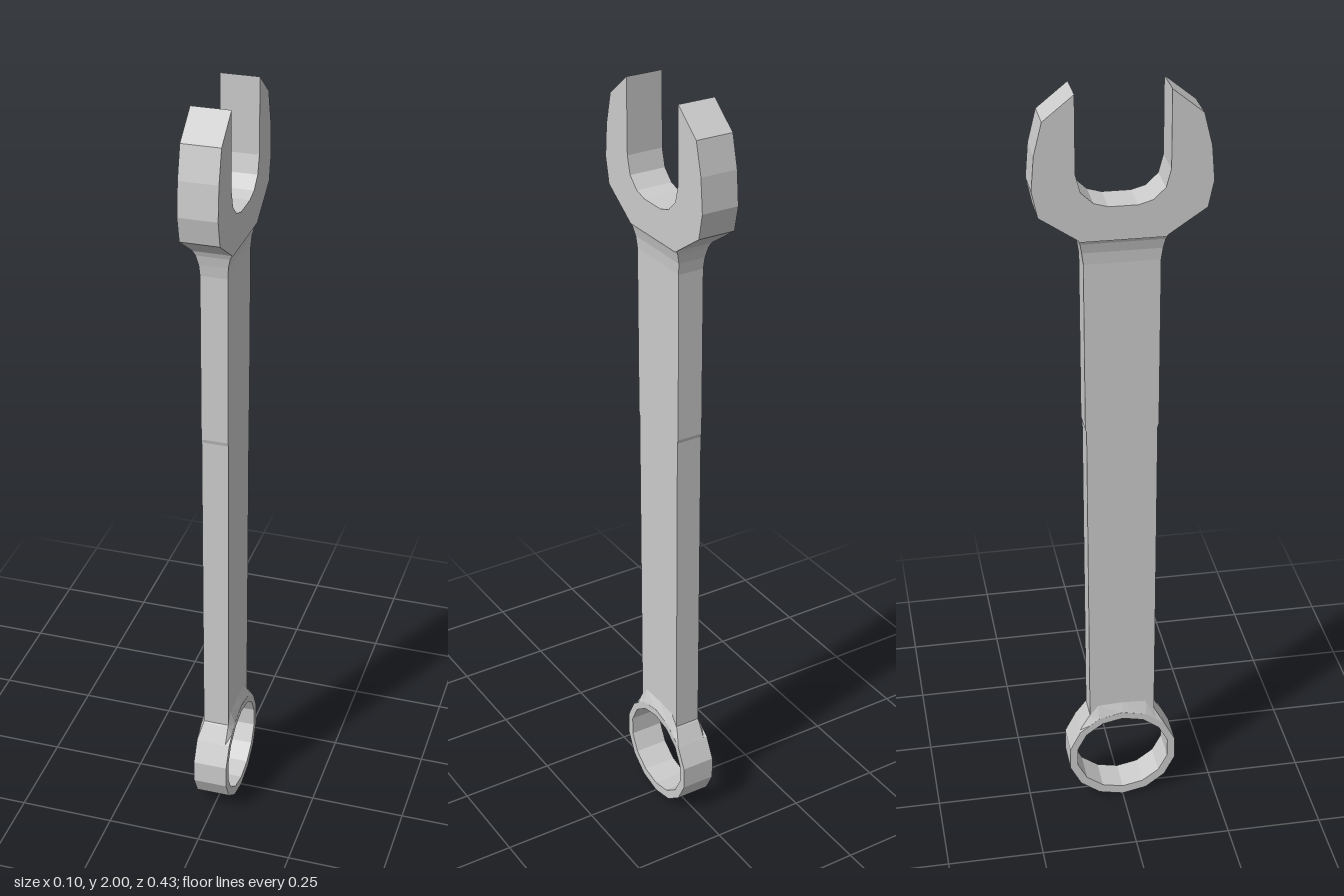
import * as THREE from 'three';

const material = new THREE.MeshStandardMaterial({ color: 0xcccccc, flatShading: true });

function mesh(name, geometry) {
  const m = new THREE.Mesh(geometry, material);
  m.name = name;
  return m;
}

// Extrude a (z, y) outline across x, centred on x = 0
function slab(shape, halfThickness) {
  const g = new THREE.ExtrudeGeometry(shape, { depth: 2 * halfThickness, bevelEnabled: false });
  return g.translate(0, 0, -halfThickness).rotateY(-Math.PI / 2);
}

// Skin a row of equal-length sections (counter-clockwise seen from the far end), with end caps
function loft(sections) {
  const pos = [];
  const tri = (a, b, c) => pos.push(...a, ...b, ...c);
  const n = sections[0].length;
  for (let i = 0; i < sections.length - 1; i++) {
    for (let j = 0; j < n; j++) {
      const k = (j + 1) % n, s = sections[i], t = sections[i + 1];
      tri(s[j], s[k], t[k]);
      tri(s[j], t[k], t[j]);
    }
  }
  const first = sections[0], last = sections[sections.length - 1];
  for (let j = 1; j < n - 1; j++) {
    tri(first[0], first[j + 1], first[j]);
    tri(last[0], last[j], last[j + 1]);
  }
  const g = new THREE.BufferGeometry();
  g.setAttribute('position', new THREE.Float32BufferAttribute(pos, 3));
  g.computeVertexNormals();
  return g;
}

// Fourteen-sided oval with a corner at the bottom
function oval(rz, ry, cy) {
  return Array.from({ length: 14 }, (_, i) => {
    const a = (i / 14) * Math.PI * 2;
    return new THREE.Vector2(rz * Math.sin(a), cy - ry * Math.cos(a));
  });
}

export function createModel() {
  const group = new THREE.Group();
  group.name = 'wrench';

  // Open jaw: half outline from the bottom, round the prong, to the throat
  const half = [
    [0.1, 1.643], [0.2, 1.71], [0.214, 1.775], [0.207, 1.86], [0.187, 1.94], [0.112, 2],
    [0.112, 1.81], [0.1, 1.765], [0.07, 1.737], [0.035, 1.727],
  ];
  const outline = [...half, ...half.map(([z, y]) => [-z, y]).reverse()];
  const jaw = new THREE.Shape(outline.map(([z, y]) => new THREE.Vector2(z, y)));
  group.add(mesh('openJaw', slab(jaw, 0.048)));

  // Closed ring end
  const ring = new THREE.Shape(oval(0.147, 0.137, 0.137));
  ring.holes.push(new THREE.Path(oval(0.126, 0.115, 0.14)));
  group.add(mesh('ringEnd', slab(ring, 0.045)));

  // Shank: [y, half thickness, half width], flaring into the jaw
  const shank = [
    [0.26, 0.034, 0.087], [1.13, 0.034, 0.089], [1.14, 0.034, 0.092], [1.58, 0.034, 0.093],
    [1.61, 0.036, 0.097], [1.635, 0.042, 0.102], [1.648, 0.048, 0.107],
  ].map(([y, x, z]) => [[x, y, z], [x, y, -z], [-x, y, -z], [-x, y, z]]);
  group.add(mesh('shank', loft(shank)));

  // Sloped collar over the top of the ring: [z, lower y, upper y]
  const side = [[0.115, 0.222, 0.222], [0.09, 0.24, 0.265], [0.064, 0.26, 0.297]];
  const stations = [
    ...side.map(([z, a, b]) => [-z, a, b]), [0, 0.272, 0.3], ...side.slice().reverse(),
  ];
  group.add(mesh('ringCollar', loft(stations.map(([z, lo, hi]) => [
    [0.045, lo, z], [0.034, hi, z], [-0.034, hi, z], [-0.045, lo, z],
  ]))));

  return group;
}
